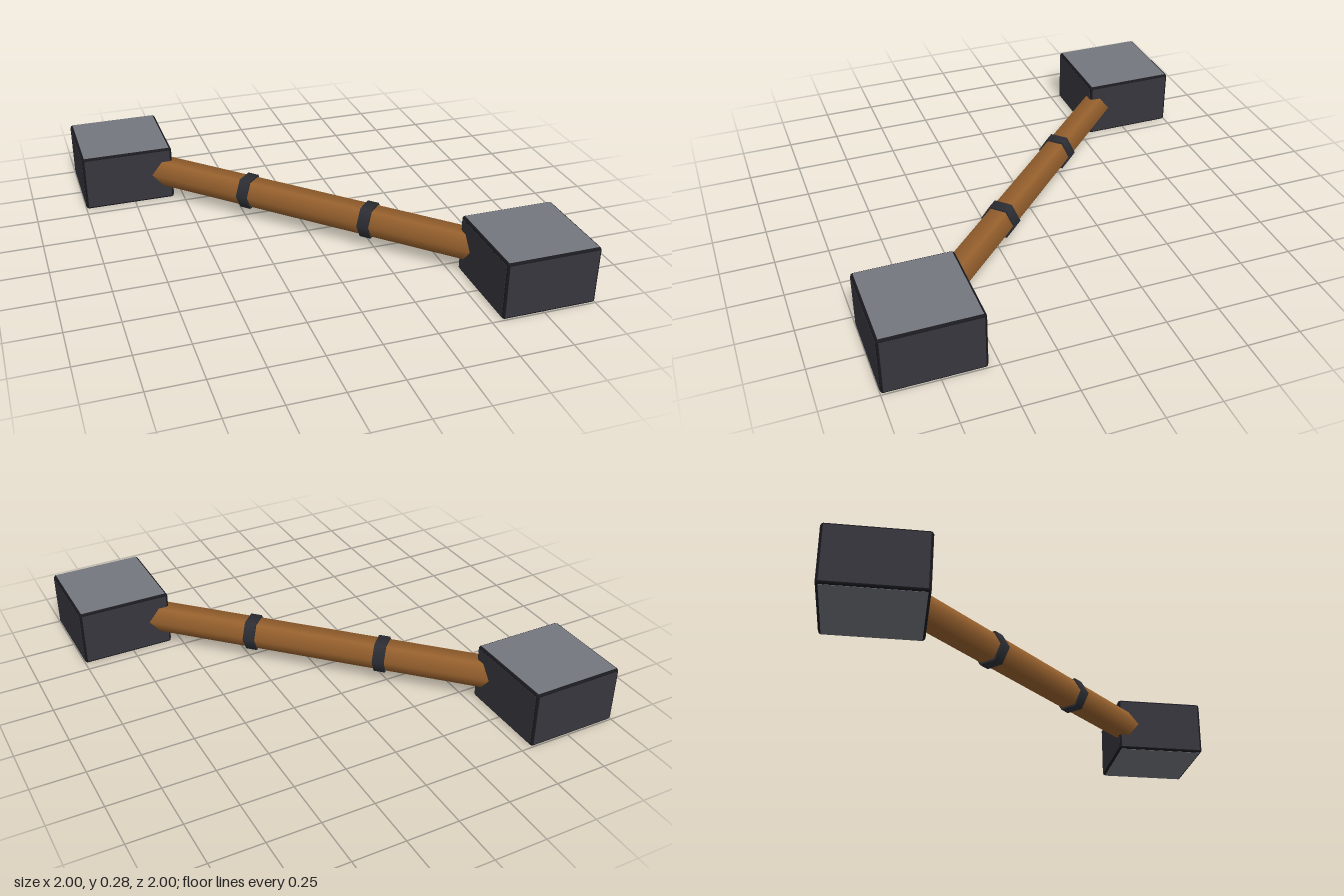
import * as THREE from 'three';
import { RoundedBoxGeometry } from 'three/addons/geometries/RoundedBoxGeometry.js';

const paint = (name, color) => {
  const m = new THREE.MeshStandardMaterial({ color });
  m.name = name;
  return m;
};

export function createModel() {
  const wood = paint('wood', 0x96602d);
  const band = paint('band iron', 0x2c2e34);
  const edge = paint('dark edge', 0x1a1a1f);
  const side = paint('dark stone', 0x37363d);
  const cap = paint('grey stone', 0x75777e);

  const model = new THREE.Group();
  model.name = 'doubleHammer';
  const add = (parent, name, geometry, material) => {
    const mesh = new THREE.Mesh(geometry, material);
    mesh.name = name;
    parent.add(mesh);
    return mesh;
  };

  const W = 0.452, H = 0.28, Y = H / 2, BEVEL = 0.012, SKIN = 0.002;

  // Bevelled blocks at opposite corners, with a thin panel on every face
  for (const s of [-1, 1]) {
    const block = new THREE.Group();
    block.name = s < 0 ? 'backBlock' : 'frontBlock';
    block.position.set(s * (1 - W / 2), Y, s * (1 - W / 2));
    model.add(block);
    add(block, 'blockCore', new RoundedBoxGeometry(W - SKIN, H - SKIN, W - SKIN, 1, BEVEL), edge);
    const w = W - 2 * BEVEL, h = H - 2 * BEVEL;
    add(block, 'sidePanelsX', new THREE.BoxGeometry(W, h, w), side);
    add(block, 'sidePanelsZ', new THREE.BoxGeometry(w, h, W), side);
    add(block, 'topAndBottomPanels', new THREE.BoxGeometry(w, H, w), cap);
  }

  // Six-sided shaft along the diagonal, flat side up
  const shaft = new THREE.Group();
  shaft.name = 'shaft';
  shaft.position.y = Y + 0.003;
  shaft.rotation.y = -Math.PI / 4;
  model.add(shaft);
  const bar = (name, radius, length, x, material) => {
    const mesh = add(shaft, name, new THREE.CylinderGeometry(radius, radius, length, 6), material);
    mesh.rotation.z = Math.PI / 2;
    mesh.position.x = x;
  };
  bar('handle', 0.076, 1.9, 0, wood);

  // Iron bands
  for (const s of [-1, 1]) bar('band', 0.087, 0.056, s * 0.325, band);

  return model;
}
